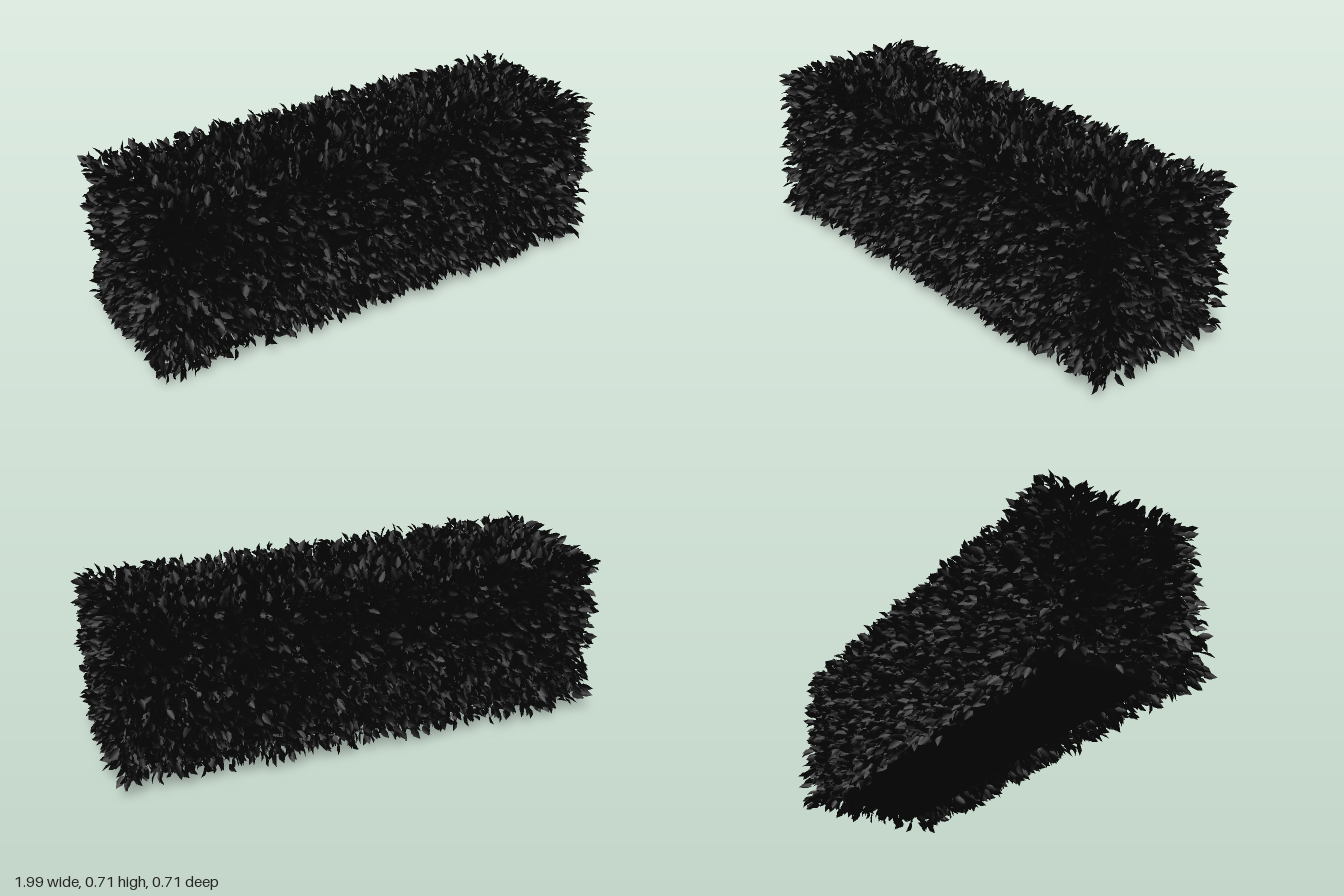
import * as THREE from 'three';

// Small seeded generator so every leaf lands in the same place each time
function seeded(seed) {
  let s = seed;
  return () => {
    s = (s * 1664525 + 1013904223) % 4294967296;
    return s / 4294967296;
  };
}

// One leaf: outline points [across, along, lift], last one is the midrib centre
const LEAF = [
  [0, 0, 0], [0.24, 0.28, 0.06], [0.22, 0.65, 0.04], [0, 1, -0.16],
  [-0.22, 0.65, 0.04], [-0.24, 0.28, 0.06], [0, 0.45, -0.04],
];

// Fill a block with leaves that grow along the outward direction
function leafMass(name, min, max, outward, count, material, seed) {
  const rand = seeded(seed);
  const spread = () => rand() * 2 - 1;
  const positions = [], indices = [];
  const along = new THREE.Vector3(), across = new THREE.Vector3(), lift = new THREE.Vector3();
  const base = new THREE.Vector3(), p = new THREE.Vector3();
  for (let i = 0; i < count; i++) {
    base.set(
      THREE.MathUtils.lerp(min[0], max[0], rand()),
      THREE.MathUtils.lerp(min[1], max[1], rand()),
      THREE.MathUtils.lerp(min[2], max[2], rand())
    );
    // Upper leaves reach up, lower leaves hang down, end leaves lean sideways
    along.set(
      outward[0] + Math.pow(base.x / 0.95, 9) * 0.8 + spread() * 0.8,
      outward[1] + (base.y - 0.35) * 2 + spread() * 0.8,
      outward[2] + Math.pow(base.z / 0.3, 5) * 0.5 + spread() * 0.8
    ).normalize();
    across.set(spread(), spread() * 0.5, spread()).cross(along).normalize();
    lift.crossVectors(across, along);
    if (lift.y < 0) { lift.negate(); across.negate(); }
    const size = 0.042 + rand() * 0.018;
    const first = positions.length / 3;
    for (const [a, b, c] of LEAF) {
      p.copy(base).addScaledVector(across, a * size)
        .addScaledVector(along, b * size).addScaledVector(lift, c * size);
      positions.push(p.x, p.y, p.z);
    }
    for (let k = 0; k < 6; k++) indices.push(first + 6, first + k, first + (k + 1) % 6);
  }
  const geometry = new THREE.BufferGeometry();
  geometry.setAttribute('position', new THREE.Float32BufferAttribute(positions, 3));
  geometry.setIndex(indices);
  geometry.computeVertexNormals();
  const mesh = new THREE.Mesh(geometry, material);
  mesh.name = name;
  return mesh;
}

export function createModel() {
  const hedge = new THREE.Group();
  hedge.name = 'hedge';
  const dark = new THREE.MeshStandardMaterial({ color: 0x020202 });
  const foliage = new THREE.MeshStandardMaterial({ color: 0x020202, side: THREE.DoubleSide });

  // Solid core behind the leaves, with a flat underside
  const core = new THREE.Mesh(new THREE.BoxGeometry(1.64, 0.45, 0.36), dark);
  core.position.y = 0.275;
  core.name = 'hedgeCore';
  hedge.add(core);

  // Long front and back faces
  hedge.add(
    leafMass('frontLeaves', [-0.94, 0.055, 0.19], [0.94, 0.645, 0.298], [0, 0, 1], 7200, foliage, 11),
    leafMass('backLeaves', [-0.94, 0.055, -0.298], [0.94, 0.645, -0.19], [0, 0, -1], 7200, foliage, 23)
  );

  // Short ends
  hedge.add(
    leafMass('leftEndLeaves', [0.83, 0.055, -0.2], [0.94, 0.645, 0.2], [1, 0, 0], 1700, foliage, 37),
    leafMass('rightEndLeaves', [-0.94, 0.055, -0.2], [-0.83, 0.645, 0.2], [-1, 0, 0], 1700, foliage, 41)
  );

  // Top
  hedge.add(leafMass('topLeaves', [-0.84, 0.51, -0.2], [0.84, 0.648, 0.2], [0, 1, 0], 5000, foliage, 59));

  return hedge;
}
